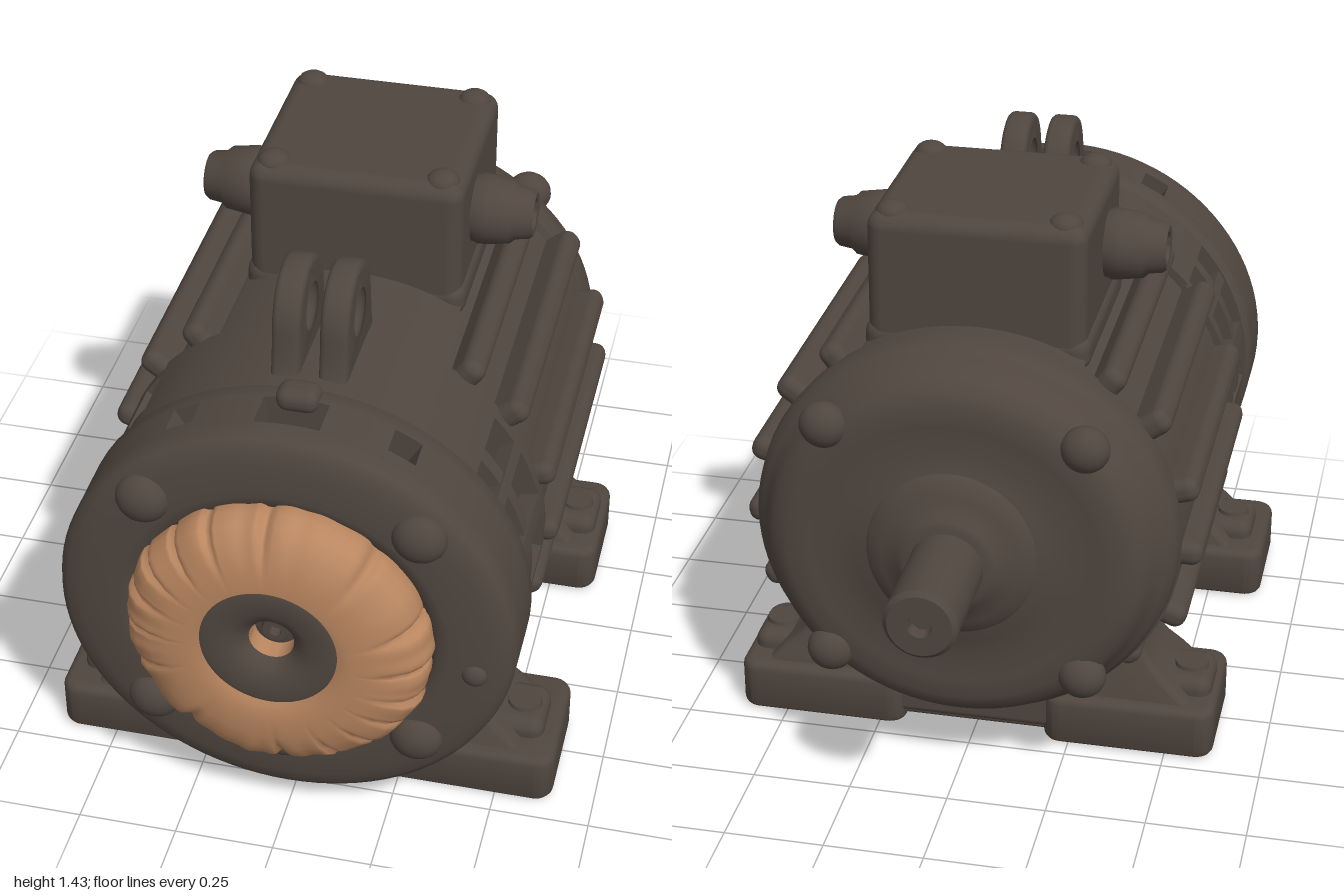
import * as THREE from 'three';
import { toCreasedNormals } from 'three/addons/utils/BufferGeometryUtils.js';
import { RoundedBoxGeometry } from 'three/addons/geometries/RoundedBoxGeometry.js';

const iron = new THREE.MeshStandardMaterial({ color: 0x50463f, side: THREE.DoubleSide });
iron.name = 'dark iron';
const copper = new THREE.MeshStandardMaterial({ color: 0xb98660, side: THREE.DoubleSide });
copper.name = 'copper tan';

const CY = 0.62;    // height of the housing axis
const SHAFT_Y = 0.66; // height of the shaft axis
const rad = THREE.MathUtils.degToRad;

function add(parent, name, geometry, x = 0, y = 0, z = 0, material = iron) {
  const mesh = new THREE.Mesh(geometry, material);
  mesh.name = name;
  mesh.position.set(x, y, z);
  parent.add(mesh);
  return mesh;
}

// Turned part along z, profile of [radius, z] with z rising on the outside
function turned(profile, segments = 72, crease = 0.7) {
  const points = profile.map(([r, z]) => new THREE.Vector2(r, z));
  return toCreasedNormals(new THREE.LatheGeometry(points, segments).rotateX(Math.PI / 2), crease);
}

// Curved block: part of a ring between two angles, running from z0 to z1
function arcBlock(rIn, rOut, a0, a1, z0, z1) {
  const s = new THREE.Shape();
  s.absarc(0, 0, rOut, rad(a0), rad(a1), false);
  s.absarc(0, 0, rIn, rad(a1), rad(a0), true);
  const g = new THREE.ExtrudeGeometry(s, { depth: z1 - z0, bevelEnabled: false, curveSegments: Math.max(4, Math.ceil((a1 - a0) / 5)) });
  return toCreasedNormals(g.translate(0, 0, z0), 0.5);
}

const rounded = (w, h, d, r) => new RoundedBoxGeometry(w, h, d, 3, r);
const dome = (r, depth) => new THREE.SphereGeometry(r, 20, 14).scale(1, 1, depth / r);

function buildHousing() {
  const body = new THREE.Group();
  body.name = 'housing';
  body.position.y = CY;
  body.scale.x = 1.04;

  add(body, 'statorBarrel', turned([[0.44, -0.46], [0.508, -0.46], [0.508, 0.36], [0.4, 0.36]]));
  add(body, 'barrelSaddle', arcBlock(0.46, 0.525, 60, 120, -0.47, 0.37));
  add(body, 'barrelBelly', arcBlock(0.46, 0.515, 240, 300, -0.43, 0.37));

  // Cooling fins on both sides: angle and radius of each
  for (const [a, r] of [[52.5, 0.52], [37, 0.525], [17, 0.508], [-2, 0.5], [-22, 0.505], [-40, 0.475]]) {
    for (const side of [1, -1]) {
      const t = rad(side > 0 ? a : 180 - a);
      const fin = add(body, 'coolingFin', rounded(0.115, 0.064, 0.82, 0.028), r * Math.cos(t), r * Math.sin(t), -0.05);
      fin.rotation.z = t;
    }
  }

  // Ventilated section: solid top and bottom, barred windows at the sides
  add(body, 'ventTop', arcBlock(0.48, 0.53, 41, 139, 0.35, 0.64));
  add(body, 'ventBottom', arcBlock(0.48, 0.53, 199, 341, 0.35, 0.64));
  for (const [a0, a1] of [[-12, -4], [8.5, 14], [28, 31.5]]) {
    add(body, 'ventBar', arcBlock(0.48, 0.525, a0, a1, 0.35, 0.64));
    add(body, 'ventBar', arcBlock(0.48, 0.525, 180 - a1, 180 - a0, 0.35, 0.64));
  }
  for (const a of [-20, 139]) {
    add(body, 'ventRib', arcBlock(0.475, 0.52, a, a + 61, 0.505, 0.55));
    add(body, 'ventFrame', arcBlock(0.47, 0.525, a, a + 61, 0.345, 0.385));
  }

  // Front ring with openings along the top
  add(body, 'frontBand', turned([[0.46, 0.62], [0.53, 0.62], [0.541, 0.635], [0.541, 0.68], [0.46, 0.68]]));
  for (const [a0, a1] of [[98, 114.5], [122, 418], [65.5, 82]]) {
    add(body, 'frontBandSector', arcBlock(0.47, 0.541, a0, a1, 0.67, 0.79));
  }
  for (const [a, w] of [[62, 8], [118, 8]]) add(body, 'openingEdge', arcBlock(0.47, 0.541, a - w / 2, a + w / 2, 0.76, 0.79));
  add(body, 'frontCover', turned([[0.45, 0.78], [0.541, 0.78], [0.541, 0.815], [0.533, 0.838], [0.515, 0.852],
    [0.48, 0.86], [0.39, 0.868], [0.365, 0.865], [0.35, 0.85], [0.34, 0.8]], 96, 0.9));
  add(body, 'topBoss', rounded(0.1, 0.06, 0.08, 0.028), 0, 0.535, 0.66);

  // Winding and core seen through the openings
  add(body, 'core', turned([[0.05, 0.3], [0.39, 0.3], [0.39, 0.84], [0.05, 0.84]]));
  add(body, 'coreRing', turned([[0.38, 0.512], [0.47, 0.512], [0.47, 0.645], [0.38, 0.645]]));
  add(body, 'innerCover', turned([[0.38, 0.72], [0.46, 0.72], [0.46, 0.82], [0.38, 0.82]]));
  for (const [z0, z1] of [[0.36, 0.51], [0.65, 0.718]]) {
    add(body, 'innerWinding', turned([[0.38, z0], [0.41, z0], [0.41, z1], [0.38, z1]]), 0, 0, 0, copper);
  }

  // Rear cover, centred on the shaft and falling away from a shallow dish
  add(body, 'rearCover', turned([[0, -0.68], [0.18, -0.68], [0.23, -0.664], [0.29, -0.652], [0.35, -0.657], [0.4, -0.657], [0.435, -0.643],
    [0.458, -0.615], [0.468, -0.575], [0.485, -0.56], [0.503, -0.535], [0.51, -0.49], [0.505, -0.44], [0.47, -0.425]], 96, 0.9), 0, 0.03);

  // Cover bolts at both ends
  for (const sx of [1, -1]) {
    for (const sy of [1, -1]) {
      add(body, 'frontBolt', dome(0.064, 0.048), sx * 0.317, sy * 0.31 + 0.017, 0.855);
      add(body, 'rearBolt', dome(0.058, 0.05), sx * 0.305, sy * 0.312 + 0.035, -0.638);
    }
  }
  add(body, 'lowerStud', dome(0.04, 0.035), 0, -0.37, 0.865);
  add(body, 'sideStud', dome(0.03, 0.02), 0.45, -0.063, 0.86);
  return body;
}

// Crumpled winding bulging from the front, with a dished hub
function buildWinding(parent) {
  const profile = [[0.36, 0.84], [0.372, 0.875], [0.37, 0.905], [0.358, 0.937], [0.334, 0.962], [0.295, 0.979],
    [0.25, 0.988], [0.2, 0.99], [0.15, 0.987], [0.1, 0.95]].map(([r, z]) => new THREE.Vector2(r, z));
  const g = new THREE.LatheGeometry(profile, 240).rotateX(Math.PI / 2);
  const p = g.attributes.position;
  for (let i = 0; i < p.count; i++) {
    const x = p.getX(i), y = p.getY(i), r = Math.hypot(x, y), a = Math.atan2(y, x);
    const wave = Math.sin(a * 7 + 2 * Math.sin(a * 3)) * 0.6 + Math.sin(a * 23 + 3 * Math.sin(a * 4)) * 0.4;
    const pinch = Math.pow(Math.abs(Math.sin(a * 8 + 2.2 * Math.sin(a * 2 + 1))), 50);
    const fade = THREE.MathUtils.smoothstep(r, 0.24, 0.36);
    const k = 1 + fade * (0.013 * wave - 0.045 * pinch);
    p.setXYZ(i, x * k, y * k, p.getZ(i) - fade * (0.012 * pinch + 0.004 * (1 - wave)));
  }
  g.computeVertexNormals();
  add(parent, 'frontWinding', g, 0, CY + 0.003, 0, copper);
  add(parent, 'frontHub', turned([[0.16, 0.95], [0.166, 0.99], [0.155, 0.993], [0.1, 0.988], [0.075, 0.978], [0.06, 0.962],
    [0.055, 0.955]]), 0, SHAFT_Y, 0);
  add(parent, 'hubBoreLining', turned([[0.055, 0.955], [0.053, 0.9]], 40), 0, SHAFT_Y, 0, copper);
  add(parent, 'hubPin', turned([[0.056, 0.905], [0.035, 0.91], [0.03, 0.925], [0.016, 0.925], [0.014, 0.9], [0, 0.9]], 40), 0, SHAFT_Y, 0);
}

function buildShaft(parent) {
  add(parent, 'bearingHub', turned([[0, -0.725], [0.105, -0.725], [0.12, -0.72], [0.135, -0.705], [0.17, -0.695], [0.2, -0.682], [0.22, -0.664], [0.23, -0.64]], 72, 0.9), 0, SHAFT_Y, 0);
  add(parent, 'shaft', turned([[0, -0.97], [0.025, -0.97], [0.03, -1], [0.078, -1], [0.09, -0.988], [0.09, -0.7]], 40), 0, SHAFT_Y, 0);
}

function buildTerminalBox(parent) {
  const box = new THREE.Group();
  box.name = 'terminalBox';
  box.position.z = -0.143;
  parent.add(box);
  add(box, 'boxBody', rounded(0.54, 0.36, 0.515, 0.04), 0, 1.235, 0);
  add(box, 'boxBase', rounded(0.56, 0.1, 0.52, 0.04), 0, 1.085, 0);
  for (const sx of [1, -1]) {
    for (const sz of [1, -1]) {
      add(box, 'lidScrew', new THREE.SphereGeometry(0.042, 18, 10).scale(1, 0.7, 1), sx * 0.212, 1.405, sz * 0.2);
    }
    // Cable gland
    const gland = add(box, 'cableGland', turned([[0, 0.24], [0.085, 0.24], [0.085, 0.275], [0.09, 0.285], [0.088, 0.31], [0.08, 0.365], [0.068, 0.378],
      [0.063, 0.412], [0.055, 0.422], [0.04, 0.42], [0.036, 0.38], [0, 0.38]], 32), 0, 1.255, 0.063);
    gland.rotation.y = sx * Math.PI / 2;
  }
}

function buildLiftingLugs(parent) {
  const s = new THREE.Shape();
  s.moveTo(-0.14, 1.12);
  s.quadraticCurveTo(-0.12, 1.15, -0.112, 1.25);
  s.bezierCurveTo(-0.1, 1.405, 0.1, 1.405, 0.112, 1.25);
  s.quadraticCurveTo(0.12, 1.15, 0.14, 1.12);
  s.holes.push(new THREE.Path().absarc(0, 1.255, 0.06, 0, Math.PI * 2, true));
  const g = new THREE.ExtrudeGeometry(s, { depth: 0.04, bevelSize: 0.015, bevelThickness: 0.015, bevelSegments: 3, curveSegments: 20 });
  const lug = toCreasedNormals(g.translate(0, 0, -0.02).rotateY(-Math.PI / 2), 0.6);
  for (const sx of [1, -1]) add(parent, 'liftingLug', lug, sx * 0.058, 0, 0.435);
}

// Foot with a hollow underside, sloping web and hold-down bolt
function buildFoot(side, z, width) {
  const foot = new THREE.Group();
  foot.name = 'foot';
  foot.position.z = z;
  const x = width / 2 - 0.022, y = 0.143, c = 0.025, mid = side * (0.182 + width / 2);
  const s = new THREE.Shape();
  [[x, y, 0], [-x, y, 1], [-x, -y, 2], [x, -y, 3]].forEach(([u, v, q]) =>
    s.absarc(u - c * Math.sign(u), v - c * Math.sign(v), c, q * Math.PI / 2, (q + 1) * Math.PI / 2, false));
  s.holes.push(new THREE.Path([[-0.14, -0.09], [-0.14, 0.09], [0.14, 0.09], [0.14, -0.09]].map(([u, v]) => new THREE.Vector2(u, v))));
  const frame = new THREE.ExtrudeGeometry(s, { depth: 0.096, bevelSize: 0.022, bevelThickness: 0.022, bevelSegments: 4, curveSegments: 5 });
  add(foot, 'footFrame', toCreasedNormals(frame.rotateX(-Math.PI / 2), 0.6), mid, 0.03, 0);
  add(foot, 'footTop', new THREE.BoxGeometry(0.34, 0.08, 0.24), mid, 0.105, 0);

  const web = new THREE.Shape([[0.15, 0.08], [0.58, 0.1], [0.5, 0.18], [0.455, 0.22], [0.42, 0.27], [0.41, 0.32], [0.34, 0.36], [0.15, 0.3]]
    .map(([u, v]) => new THREE.Vector2(u * side, v)));
  const webGeometry = new THREE.ExtrudeGeometry(web, { depth: 0.16, bevelSize: 0.015, bevelThickness: 0.02, bevelSegments: 3 });
  // Flare the web towards its base
  const p = webGeometry.translate(0, 0, -0.08).attributes.position;
  for (let i = 0; i < p.count; i++) p.setZ(i, p.getZ(i) * (1 + 0.45 * THREE.MathUtils.clamp((0.3 - p.getY(i)) / 0.2, 0, 1)));
  add(foot, 'footWeb', toCreasedNormals(webGeometry, 0.6));
  add(foot, 'boltPad', rounded(0.15, 0.08, 0.17, 0.035), side * 0.53, 0.155, 0);
  add(foot, 'holdDownBolt', new THREE.CylinderGeometry(0.042, 0.055, 0.06, 16), side * 0.545, 0.175, 0);
  return foot;
}

export function createModel() {
  const model = new THREE.Group();
  model.name = 'electricMotor';
  model.add(buildHousing());
  buildWinding(model);
  buildShaft(model);
  buildTerminalBox(model);
  buildLiftingLugs(model);
  for (const [z, width] of [[0.535, 0.463], [-0.295, 0.44]]) {
    for (const side of [1, -1]) model.add(buildFoot(side, z, width));
    // Cross-tie between the feet, with two long ribs below
    add(model, 'footBridge', rounded(0.44, 0.1, 0.29, 0.02), 0, 0.09, z);
    for (const dz of [-0.1, 0.1]) add(model, 'bridgeRib', rounded(0.42, 0.03, 0.05, 0.012), 0, 0.038, z + dz);
  }
  add(model, 'baseKeel', rounded(0.4, 0.09, 0.62, 0.02), 0, 0.1, 0.12);
  for (const side of [1, -1]) add(model, 'baseRail', rounded(0.08, 0.1, 0.6, 0.03), side * 0.28, 0.17, 0.12);
  return model;
}
